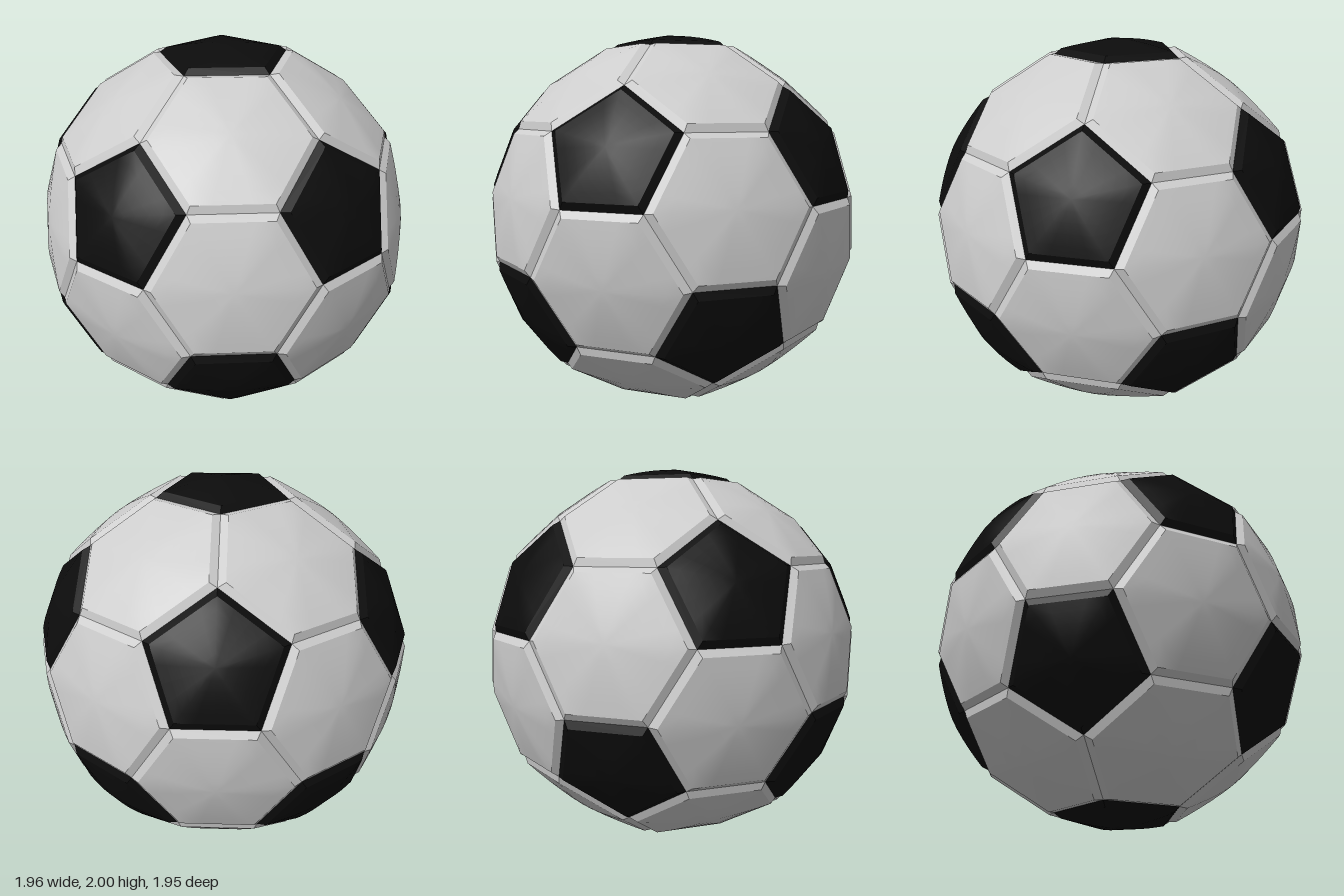
import * as THREE from 'three';
import { mergeGeometries } from 'three/addons/utils/BufferGeometryUtils.js';

const EDGE = 0.398;   // panel side length at the seam
const INSET = 0.029;  // bevel width
const RAISE = 0.028;  // bevel height
const RINGS = 5, STEPS = 4;

// The twelve black panel centres: two poles and two staggered rings of five
function icosahedronPoints() {
  const r = EDGE * 3 / 1.05146;
  const points = [new THREE.Vector3(0, r, 0), new THREE.Vector3(0, -r, 0)];
  for (let i = 0; i < 5; i++) {
    for (const side of [1, -1]) {
      const a = (i * 72 + (side > 0 ? 0 : 36)) * Math.PI / 180;
      const h = side * r / Math.sqrt(5), w = 2 * r / Math.sqrt(5);
      points.push(new THREE.Vector3(w * Math.sin(a), h, w * Math.cos(a)));
    }
  }
  return points;
}

function geometryFrom(points, index) {
  const g = new THREE.BufferGeometry().setFromPoints(points);
  g.setIndex(index);
  return g;
}

// One raised panel: a gently domed top with smooth normals and a flat bevel
function panelGeometry(corners, dome) {
  const c = new THREE.Vector3();
  corners.forEach(p => c.addScaledVector(p, 1 / corners.length));
  const n = c.clone().normalize();
  const u = corners[0].clone().sub(c).normalize();
  const v = n.clone().cross(u);
  const angle = p => {
    const d = p.clone().sub(c);
    return (Math.atan2(d.dot(v), d.dot(u)) + Math.PI * 2 + 0.01) % (Math.PI * 2);
  };
  const base = [...corners].sort((a, b) => angle(a) - angle(b));
  const count = base.length;
  const inradius = base[0].clone().add(base[1]).multiplyScalar(0.5).distanceTo(c);
  const k = 1 - INSET / inradius;
  const rim = base.map(p => p.clone().sub(c).multiplyScalar(k).add(c).addScaledVector(n, RAISE));
  const middle = c.clone().addScaledVector(n, RAISE);

  // Domed top, ring by ring from the centre
  const points = [middle.clone().addScaledVector(n, dome)], index = [];
  const around = count * STEPS;
  for (let r = 1; r <= RINGS; r++) {
    const s = r / RINGS;
    for (let j = 0; j < around; j++) {
      const i = Math.floor(j / STEPS);
      const p = rim[i].clone().lerp(rim[(i + 1) % count], (j % STEPS) / STEPS);
      points.push(middle.clone().lerp(p, s).addScaledVector(n, dome * (1 - s ** 1.6)));
    }
  }
  for (let j = 0; j < around; j++) {
    const j2 = (j + 1) % around;
    index.push(0, 1 + j, 1 + j2);
    for (let r = 0; r < RINGS - 1; r++) {
      const a = 1 + r * around, b = a + around;
      index.push(a + j, b + j, b + j2, a + j, b + j2, a + j2);
    }
  }
  const top = geometryFrom(points, index);
  top.computeVertexNormals();

  // Bevel sloping down to the seam
  const quads = [], quadIndex = [];
  for (let i = 0; i < count; i++) {
    const j = (i + 1) % count, o = quads.length;
    quads.push(rim[i], base[i], base[j], rim[j]);
    quadIndex.push(o, o + 1, o + 2, o, o + 2, o + 3);
  }
  const bevel = geometryFrom(quads, quadIndex);
  bevel.computeVertexNormals();
  return mergeGeometries([top, bevel]);
}

export function createModel() {
  const white = new THREE.MeshStandardMaterial({ color: 0xcccccc });
  white.name = 'white';
  const black = new THREE.MeshStandardMaterial({ color: 0x0c0c0c });
  black.name = 'black';

  const ball = new THREE.Group();
  ball.name = 'ball';
  ball.position.y = 1;
  const add = (name, corners, dome, material) => {
    const mesh = new THREE.Mesh(panelGeometry(corners, dome), material);
    mesh.name = name;
    ball.add(mesh);
  };

  const P = icosahedronPoints();
  const near = (a, b) => a !== b && P[a].distanceTo(P[b]) < EDGE * 3.2;
  const corner = (a, b) => P[a].clone().lerp(P[b], 1 / 3);

  // Twelve black pentagons
  P.forEach((_, a) => {
    const corners = P.map((_, b) => b).filter(b => near(a, b)).map(b => corner(a, b));
    add('blackPanel', corners, 0.046, black);
  });

  // Twenty white hexagons
  for (let a = 0; a < 12; a++)
    for (let b = a + 1; b < 12; b++)
      for (let c = b + 1; c < 12; c++)
        if (near(a, b) && near(b, c) && near(a, c))
          add('whitePanel', [[a, b], [b, a], [b, c], [c, b], [c, a], [a, c]].map(e => corner(...e)), 0.042, white);

  const model = new THREE.Group();
  model.name = 'panelledBall';
  model.add(ball);
  return model;
}
